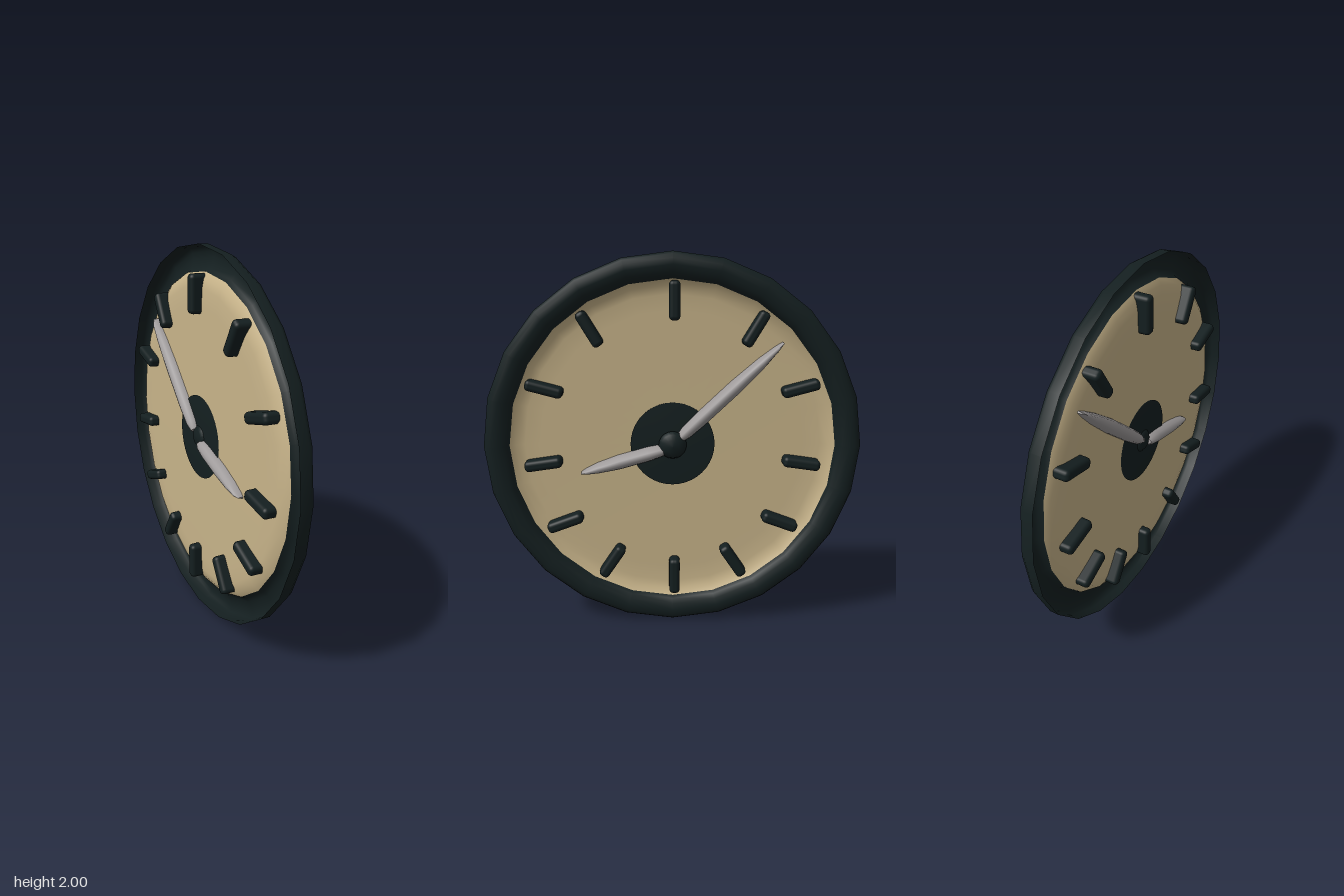
import * as THREE from 'three';
import { RoundedBoxGeometry } from 'three/addons/geometries/RoundedBoxGeometry.js';

const paint = (color) => new THREE.MeshStandardMaterial({ color, side: THREE.DoubleSide });

// Profile of [radius, x] pairs turned about the x axis
function turned(points, segments) {
  const geo = new THREE.LatheGeometry(points.map(([r, x]) => new THREE.Vector2(r, x)), segments);
  return geo.rotateZ(-Math.PI / 2);
}

// Tapered hand along +y: [t, half width (z), half depth (x)] stations
const stations = [
  [0, 0.02, 0.045], [0.06, 0.032, 0.056], [0.2, 0.038, 0.06], [0.55, 0.038, 0.06],
  [0.8, 0.028, 0.057], [0.94, 0.015, 0.05], [1, 0.005, 0.036],
];
function handGeometry(length) {
  const geo = new THREE.CylinderGeometry(1, 1, 1, 16, stations.length - 1);
  const p = geo.attributes.position;
  for (let i = 0; i < p.count; i++) {
    const row = Math.round((p.getY(i) + 0.5) * (stations.length - 1));
    const [t, w, d] = stations[row];
    p.setXYZ(i, p.getX(i) * d, t * length, p.getZ(i) * w);
  }
  geo.computeVertexNormals();
  return geo;
}

export function createModel() {
  const model = new THREE.Group();
  const dark = paint(0x141f20), tan = paint(0xc8b48a), grey = paint(0x9c9898);
  const add = (name, geo, mat) => {
    const mesh = new THREE.Mesh(geo, mat);
    mesh.name = name;
    mesh.position.y = 1;
    model.add(mesh);
    return mesh;
  };

  // Hollow rounded rim, open at the back
  add('rim', turned([
    [1, -0.02], [1, 0.03], [0.987, 0.052], [0.965, 0.064], [0.935, 0.066],
    [0.9, 0.058], [0.877, 0.042], [0.866, 0.018],
  ], 24), dark);

  // Shallow dish whose edge curves up to the rim
  add('face', turned([
    [0, -0.012], [0.7, -0.012], [0.79, -0.009], [0.835, 0], [0.866, 0.02],
  ], 24), tan);

  // Centre plate and hub
  add('centrePlate', turned([[0, -0.018], [0.225, -0.018], [0.225, -0.004], [0, -0.004]], 40), dark);
  add('hub', turned([
    [0, -0.035], [0.045, -0.032], [0.065, -0.015], [0.075, 0.015], [0.062, 0.045], [0.035, 0.06], [0, 0.064],
  ], 20), dark);

  // Hands, from [z, y] start to [z, y] tip about the centre
  const addHand = (name, [z0, y0], [z1, y1]) => {
    const hand = add(name, handGeometry(Math.hypot(z1 - z0, y1 - y0)), grey);
    hand.position.set(-0.003, 1 + y0, z0);
    hand.rotation.x = Math.atan2(z1 - z0, y1 - y0);
  };
  addHand('longHand', [-0.035, 0.03], [-0.575, 0.54]);
  addHand('shortHand', [0.035, -0.025], [0.49, -0.155]);

  // Hour marks: [z, y, slope in degrees], mirrored across z except top and bottom
  const markGeo = new RoundedBoxGeometry(0.13, 0.2, 0.058, 3, 0.022);
  const addMark = (z, y, slope) => {
    const mark = add('hourMark', markGeo, dark);
    mark.position.set(-0.005, 1 + y, z);
    mark.rotation.x = THREE.MathUtils.degToRad(90 - slope);
  };
  addMark(-0.01, 0.757, 90);
  addMark(-0.01, -0.743, 90);
  const pairs = [
    [0.428, 0.613, 59], [0.672, 0.305, 15], [0.69, -0.1, -8], [0.584, -0.43, -20], [0.332, -0.657, -56],
  ];
  for (const [z, y, slope] of pairs) {
    addMark(z, y, slope);
    addMark(-z, y, -slope);
  }
  return model;
}
